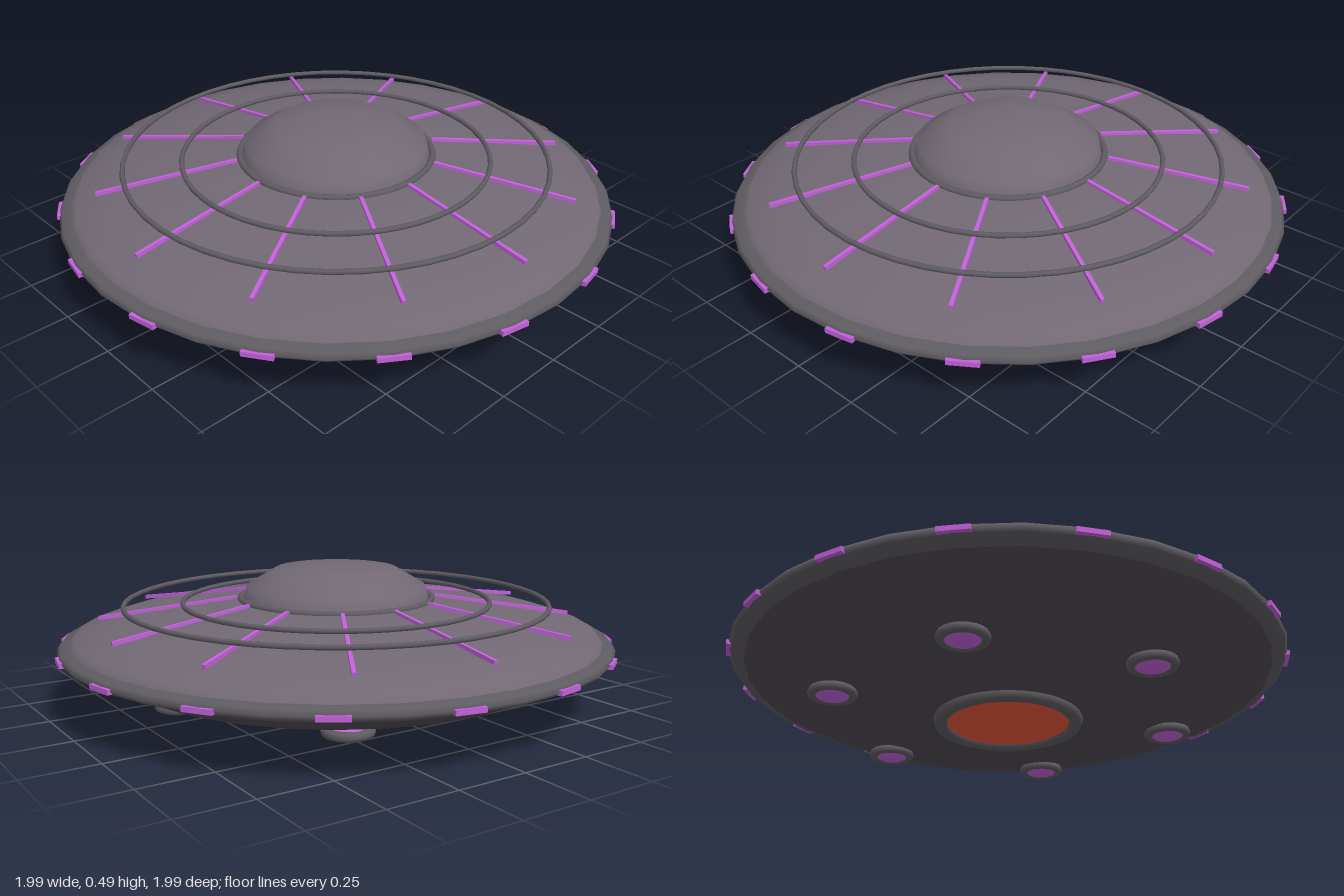
import * as THREE from 'three';

const SIDES = 32;

function material(name, color) {
  const m = new THREE.MeshStandardMaterial({ color });
  m.name = name;
  return m;
}

// Surface of revolution; points run from low to high on the outer side
function lathe(points, sides = SIDES) {
  return new THREE.LatheGeometry(points.map(([r, y]) => new THREE.Vector2(r, y)), sides);
}

function flatTorus(radius, tube, sides = 48) {
  return new THREE.TorusGeometry(radius, tube, 8, sides).rotateX(Math.PI / 2);
}

export function createModel() {
  const model = new THREE.Group();
  model.name = 'flyingSaucer';

  const hullMat = material('hull grey', 0x716873);
  const underMat = material('underside grey', 0x514b53);
  const trimMat = material('trim grey', 0x5e5b61);
  const lightMat = material('violet light', 0xc260da);
  const glowMat = material('orange glow', 0xe8573a);

  function add(name, geometry, mat, parent = model) {
    const mesh = new THREE.Mesh(geometry, mat);
    mesh.name = name;
    parent.add(mesh);
    return mesh;
  }

  // Place copies of a part evenly round the vertical axis
  function around(name, count, offset, build) {
    for (let i = 0; i < count; i++) {
      const g = new THREE.Group();
      g.name = name;
      g.rotation.y = ((i + offset) / count) * Math.PI * 2;
      build(g);
      model.add(g);
    }
  }

  // Saucer body
  add('upperHull', lathe([
    [0.957, 0.228], [0.935, 0.26], [0.82, 0.297], [0.7, 0.319],
    [0.55, 0.341], [0.36, 0.368], [0, 0.38],
  ]), hullMat);
  add('lowerHull', lathe([
    [0, 0.036], [0.2, 0.038], [0.38, 0.046], [0.6, 0.075], [0.78, 0.112], [0.97, 0.202],
  ]), underMat);
  add('rim', lathe([
    [0.94, 0.184], [0.985, 0.202], [0.995, 0.215], [0.985, 0.232], [0.95, 0.239],
  ]), trimMat);

  // Dome and its collar
  add('dome', lathe([
    [0.34, 0.36], [0.325, 0.415], [0.22, 0.477], [0.1, 0.491], [0, 0.495],
  ]), hullMat);
  add('domeCollar', flatTorus(0.347, 0.012), trimMat);
  model.getObjectByName('domeCollar').position.y = 0.37;

  // Thin level rings over the upper hull
  for (const [name, radius, y] of [['outerRing', 0.763, 0.357], ['innerRing', 0.555, 0.36]]) {
    add(name, flatTorus(radius, 0.009), trimMat).position.y = y;
  }

  // Radial light strips, sloping with the hull
  const strip = new THREE.BoxGeometry(0.505, 0.014, 0.013);
  around('lightStrip', 12, 0, (g) => {
    const mesh = add('strip', strip, lightMat, g);
    mesh.position.set(0.61, 0.336, 0);
    mesh.rotation.z = -Math.atan(0.143);
  });

  // Lights along the rim
  const rimLight = new THREE.BoxGeometry(0.03, 0.017, 0.1);
  around('rimLight', 16, 0.5, (g) => {
    add('lamp', rimLight, lightMat, g).position.set(0.985, 0.213, 0);
  });

  // Underside pods: ring with a shallow lens
  const podRing = flatTorus(0.07, 0.017, 24);
  const lens = new THREE.SphereGeometry(0.064, 24, 12).scale(1, 0.42, 1);
  around('underPod', 6, 0, (g) => {
    add('podRing', podRing, trimMat, g).position.set(0.63, 0.062, 0);
    add('podLens', lens, lightMat, g).position.set(0.63, 0.064, 0);
  });

  // Central emitter
  add('emitterRing', flatTorus(0.241, 0.027), trimMat).position.y = 0.036;
  add('emitterLens', new THREE.SphereGeometry(0.222, 32, 16).scale(1, 0.16, 1), glowMat)
    .position.y = 0.036;

  return model;
}
